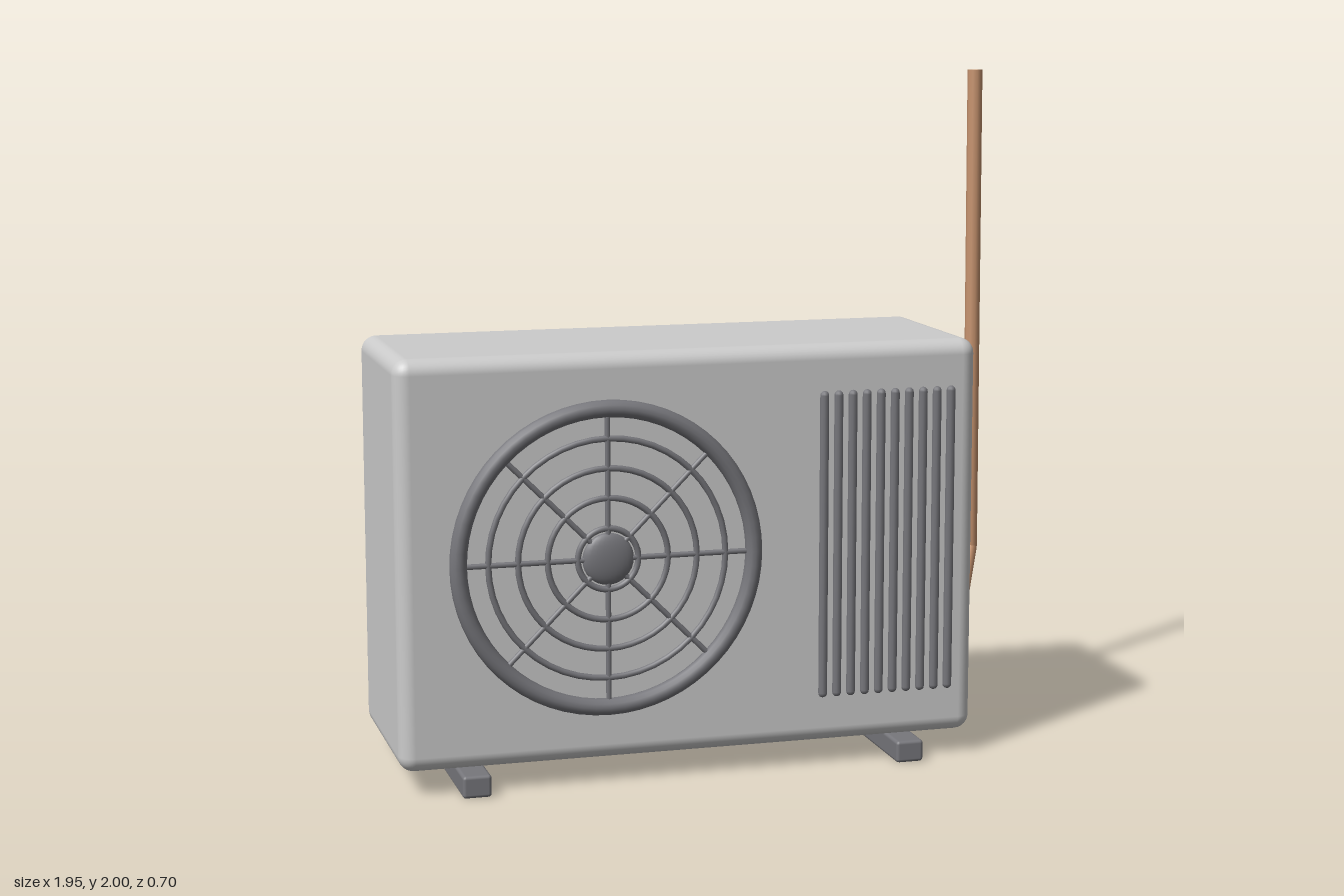
import * as THREE from 'three';
import { RoundedBoxGeometry } from 'three/addons/geometries/RoundedBoxGeometry.js';

const casing = new THREE.MeshStandardMaterial({ color: 0xcccccc });
const dark = new THREE.MeshStandardMaterial({ color: 0x77777c });
const copper = new THREE.MeshStandardMaterial({ color: 0xc8946f });

function add(parent, name, geometry, material, x = 0, y = 0, z = 0) {
  const mesh = new THREE.Mesh(geometry, material);
  mesh.name = name;
  mesh.position.set(x, y, z);
  parent.add(mesh);
  return mesh;
}

function group(parent, name, x = 0, y = 0, z = 0) {
  const g = new THREE.Group();
  g.name = name;
  g.position.set(x, y, z);
  parent.add(g);
  return g;
}

// Round bar between two points
function bar(parent, name, a, b, radius, material, sides) {
  const dir = b.clone().sub(a);
  const mid = a.clone().add(b).multiplyScalar(0.5);
  const mesh = add(parent, name, new THREE.CylinderGeometry(radius, radius, dir.length(), sides), material, mid.x, mid.y, mid.z);
  mesh.quaternion.setFromUnitVectors(new THREE.Vector3(0, 1, 0), dir.normalize());
}

export function createModel() {
  const model = new THREE.Group();
  model.name = 'airConditionerOutdoorUnit';

  // Cabinet
  add(model, 'cabinet', new RoundedBoxGeometry(1.715, 1.175, 0.6, 4, 0.045), casing, -0.122, 0.657, 0.01);

  // Fan guard: outer rim, concentric wires, spokes and domed hub
  const guard = group(model, 'fanGuard', -0.38, 0.66, 0.325);
  add(guard, 'guardRim', new THREE.TorusGeometry(0.43, 0.025, 12, 64), dark);
  for (const r of [0.088, 0.175, 0.26, 0.345]) {
    add(guard, 'guardRing', new THREE.TorusGeometry(r, 0.009, 8, 48), dark);
  }
  for (let i = 0; i < 8; i++) {
    const a = (i * Math.PI) / 4;
    const out = new THREE.Vector3(Math.cos(a), Math.sin(a), 0);
    bar(guard, 'guardSpoke', out.clone().multiplyScalar(0.05), out.clone().multiplyScalar(0.43), 0.008, dark, 8);
  }
  const hub = add(guard, 'guardHub', new THREE.SphereGeometry(0.075, 24, 16), dark);
  hub.scale.z = 0.3;

  // Vertical louvre slats
  const louvres = group(model, 'louvres', 0, 0.658, 0.311);
  for (let i = 0; i < 10; i++) {
    add(louvres, 'slat', new THREE.CapsuleGeometry(0.0135, 0.878, 4, 10), dark, 0.266 + i * 0.043);
  }

  // L-shaped mounting brackets
  for (const x of [-0.769, 0.524]) {
    const bracket = group(model, 'bracket', x);
    add(bracket, 'bracketFoot', new RoundedBoxGeometry(0.083, 0.065, 0.705, 2, 0.01), dark, 0, 0.0325, 0.0025);
    add(bracket, 'bracketPost', new RoundedBoxGeometry(0.083, 0.43, 0.065, 2, 0.01), dark, 0, 0.215, -0.3175);
  }

  // Refrigerant pipe
  const pipe = group(model, 'copperPipe');
  const path = [[0.7, 0.286, -0.165], [0.87, 0.284, -0.165], [0.95, 0.5, -0.27], [0.95, 2, -0.288]]
    .map((p) => new THREE.Vector3(...p));
  path.forEach((p, i) => {
    if (i > 0) bar(pipe, 'pipeSection', path[i - 1], p, 0.023, copper, 10);
    if (i === 1 || i === 2) add(pipe, 'pipeElbow', new THREE.SphereGeometry(0.023, 12, 8), copper, p.x, p.y, p.z);
  });

  return model;
}
